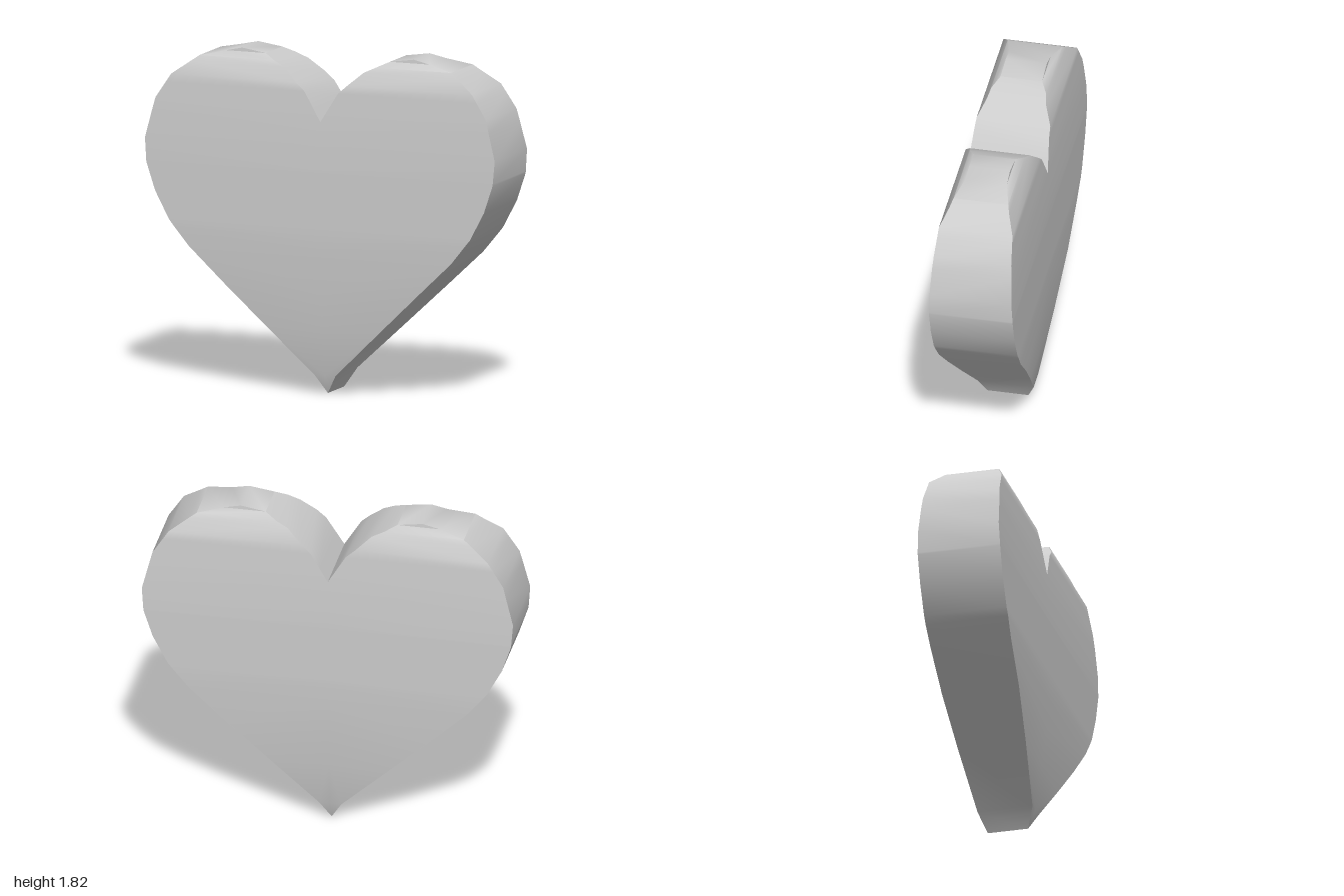
import * as THREE from 'three';
import { toCreasedNormals } from 'three/addons/utils/BufferGeometryUtils.js';

// Half outline and half thickness as [height, value] profiles
const OUTER = [[0, 0], [0.1, 0.06], [0.755, 0.75], [0.89, 0.86], [1.04, 0.94], [1.19, 0.99],
  [1.32, 1], [1.535, 0.945], [1.665, 0.86], [1.765, 0.72], [1.815, 0.49]];
const INNER = [[0, 0], [1.465, 0], [1.62, 0.095], [1.735, 0.225], [1.795, 0.355], [1.815, 0.49]];
const DEPTH = [[0, 0.11], [0.1, 0.15], [0.35, 0.185], [0.57, 0.21], [0.85, 0.225], [1.2, 0.225],
  [1.465, 0.214], [1.665, 0.198], [1.735, 0.16], [1.765, 0.147], [1.795, 0.112], [1.815, 0.11]];

// Linear lookup in a profile
function at(profile, y) {
  const i = Math.max(1, profile.findIndex((p) => p[0] >= y));
  const [y0, v0] = profile[i - 1];
  const [y1, v1] = profile[i];
  return v0 + ((v1 - v0) * (y - y0)) / (y1 - y0);
}

function heartGeometry() {
  const heights = [...new Set([...OUTER, ...INNER, ...DEPTH].map((p) => p[0]))].sort((a, b) => a - b);

  // Rectangular cross-section of one lobe at each height
  const rows = heights.map((y) => {
    const a = at(INNER, y), b = at(OUTER, y), h = at(DEPTH, y);
    return [[a, y, h], [b, y, h], [b, y, -h], [a, y, -h]].map((p) => new THREE.Vector3(...p));
  });

  const positions = [];
  const triangle = (a, b, c) => {
    if (new THREE.Triangle(a, b, c).getArea() < 1e-7) return;
    for (const p of [a, b, c]) positions.push(p.x, p.y, p.z);
    for (const p of [c, b, a]) positions.push(-p.x, p.y, p.z); // mirrored half
  };

  for (let r = 0; r < rows.length - 1; r++) {
    const low = rows[r], high = rows[r + 1];
    for (let k = 0; k < 4; k++) {
      const n = (k + 1) % 4;
      // The inner wall exists only in the notch between the lobes
      if (k === 3 && high[0].x === 0) continue;
      triangle(low[k], low[n], high[n]);
      triangle(low[k], high[n], high[k]);
    }
  }

  const geometry = new THREE.BufferGeometry();
  geometry.setAttribute('position', new THREE.Float32BufferAttribute(positions, 3));
  return toCreasedNormals(geometry, 0.75);
}

export function createModel() {
  const group = new THREE.Group();
  group.name = 'heart';
  const body = new THREE.Mesh(heartGeometry(), new THREE.MeshStandardMaterial({ color: 0xcccccc }));
  body.name = 'heartBody';
  group.add(body);
  return group;
}
